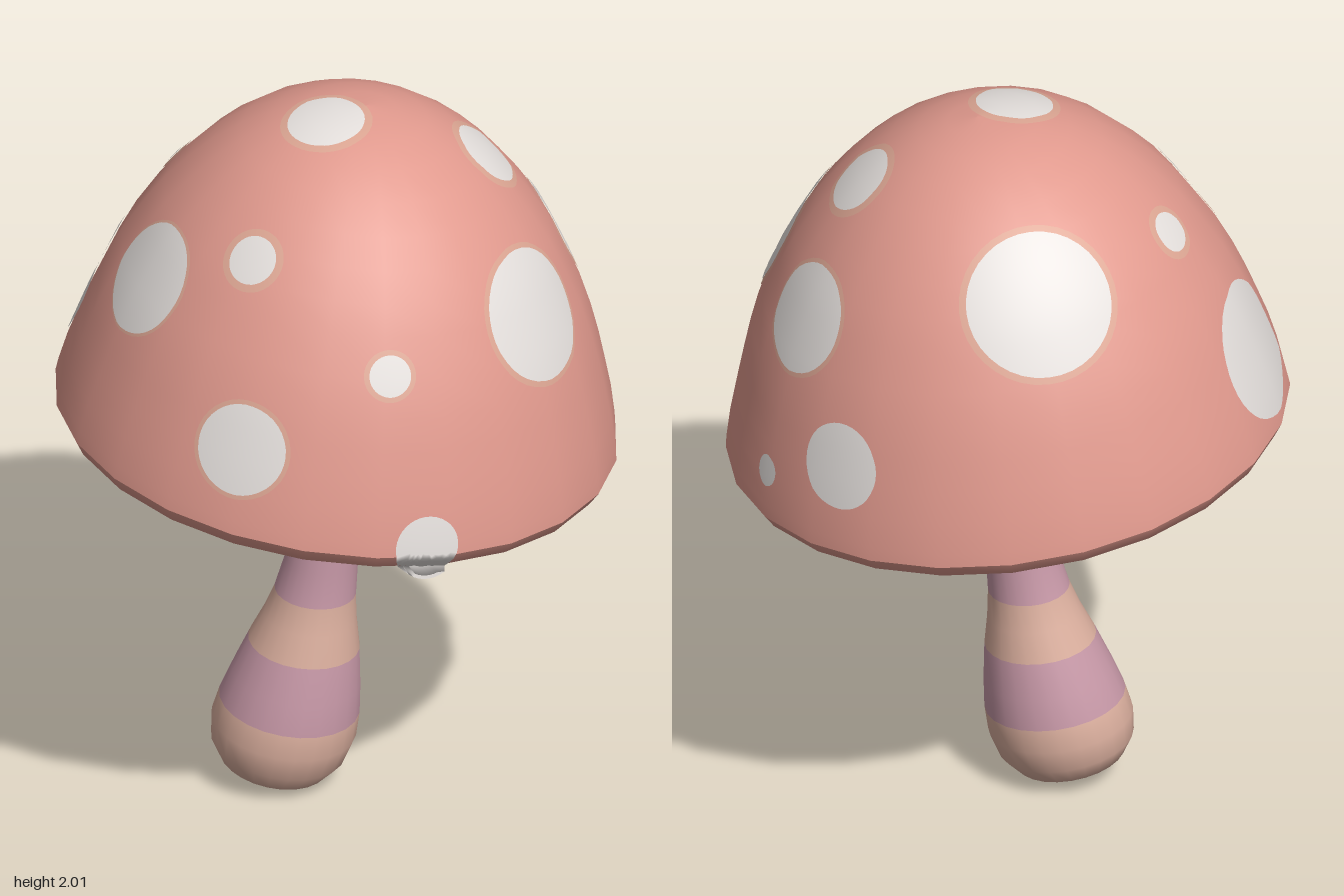
import * as THREE from 'three';
import { mergeVertices } from 'three/addons/utils/BufferGeometryUtils.js';

const mat = (name, color) => {
  const m = new THREE.MeshStandardMaterial({ color });
  m.name = name;
  return m;
};

const lathe = (pts, sides) =>
  new THREE.LatheGeometry(pts.map(([r, y]) => new THREE.Vector2(r, y)), sides, Math.PI);

// Surface points of a disc or ring wrapped onto the cap
function wrappedDisc(targets, centre, normal, r0, r1, lift) {
  const rings = 9, sides = 36;
  const u = new THREE.Vector3(0, 1, 0).cross(normal).normalize();
  const v = normal.clone().cross(u);
  const ray = new THREE.Raycaster();
  const pos = [], nor = [], index = [];
  for (let i = 0; i <= rings; i++) {
    const r = r0 + (r1 - r0) * i / rings;
    for (let j = 0; j < sides; j++) {
      const a = j / sides * Math.PI * 2;
      const p = centre.clone().addScaledVector(u, r * Math.cos(a)).addScaledVector(v, r * Math.sin(a));
      ray.set(p.clone().addScaledVector(normal, 0.5), normal.clone().negate());
      const hit = ray.intersectObjects(targets)[0];
      const n = hit ? hit.normal : normal;
      const q = (hit ? hit.point : p).clone().addScaledVector(n, lift);
      pos.push(q.x, q.y, q.z);
      nor.push(n.x, n.y, n.z);
      if (i < rings) {
        const k = (j + 1) % sides, b = i * sides, c = b + sides;
        index.push(b + j, c + j, c + k, b + j, c + k, b + k);
      }
    }
  }
  const g = new THREE.BufferGeometry();
  g.setAttribute('position', new THREE.Float32BufferAttribute(pos, 3));
  g.setAttribute('normal', new THREE.Float32BufferAttribute(nor, 3));
  g.setIndex(index);
  return g;
}

export function createModel() {
  const model = new THREE.Group();
  model.name = 'mushroom';
  const pink = mat('cap pink', 0xe0998d);
  const white = mat('spot white', 0xe4dfdc);
  const halo = mat('spot edge beige', 0xdba592);
  const cream = mat('stem cream', 0xdcb09f);
  const mauve = mat('stem mauve', 0xc899a8);
  const olive = mat('gill beige', 0xc2ae92);

  const add = (name, geometry, material, parent = model) => {
    const m = new THREE.Mesh(geometry, material);
    m.name = name;
    parent.add(m);
    return m;
  };

  // Cap: tilted to its left and slightly backward, with a small lean of the dome
  const tilt = new THREE.Matrix4().makeRotationFromEuler(new THREE.Euler(-0.035, 0, -0.116));
  tilt.setPosition(-0.005, 1.03, 0);
  tilt.multiply(new THREE.Matrix4().set(1, -0.035, 0, 0, 0, 1, 0, 0, 0, 0, 1, 0, 0, 0, 0, 1));
  const cap = new THREE.Group();
  cap.name = 'cap';
  model.add(cap);
  const capPart = (name, pts, material) => add(name, lathe(pts, 24).applyMatrix4(tilt), material, cap);

  const dome = capPart('dome', [
    [0.737, 0.055], [0.732, 0.09], [0.715, 0.17], [0.692, 0.25], [0.668, 0.33], [0.64, 0.41],
    [0.602, 0.5], [0.548, 0.6], [0.505, 0.67], [0.45, 0.74], [0.39, 0.805], [0.32, 0.865],
    [0.24, 0.915], [0.16, 0.95], [0.08, 0.969], [0, 0.975]], pink);
  const rim = capPart('rim', [[0.67, 0], [0.715, 0.018], [0.737, 0.055]], pink);
  capPart('rimInside', [[0.56, 0.12], [0.61, 0.1], [0.638, 0.06], [0.645, 0.02], [0.67, 0]], pink);
  capPart('gills', [[0, 0.05], [0.3, 0.05], [0.53, 0.05], [0.555, 0.058]], olive);
  capPart('gillEdge', [[0.555, 0.058], [0.585, 0.07], [0.6, 0.11]], cream);

  // Spots: x, y, z, radius, halo width
  const spots = [
    [0, 1.33, 0.67, 0.12, 0.012], [-0.06, 1.77, 0.45, 0.065, 0.02],
    [-0.37, 1.62, 0.39, 0.15, 0.008], [0.355, 1.53, 0.505, 0.055, 0.014],
    [0.46, 1.08, 0.54, 0.085, 0], [0.6, 1.55, 0.08, 0.175, 0.015],
    [0.36, 1.86, -0.17, 0.095, 0.02], [0.455, 1.56, -0.41, 0.145, 0.012],
    [0.29, 1.26, -0.63, 0.115, 0], [0.52, 1.135, -0.5, 0.042, 0],
    [0, 1.99, 0.07, 0.1, 0.02], [-0.2, 1.72, -0.45, 0.19, 0.018],
    [-0.45, 1.75, -0.07, 0.055, 0.02], [-0.655, 1.38, 0.01, 0.185, 0]];
  const targets = [dome, rim];
  const core = new THREE.Vector3(0, 1.3, 0);
  const ray = new THREE.Raycaster();
  for (const [x, y, z, r, edge] of spots) {
    const dir = new THREE.Vector3(x, y, z).sub(core).normalize();
    ray.set(core.clone().addScaledVector(dir, 2), dir.clone().negate());
    const hit = ray.intersectObjects(targets)[0];
    const n = hit.normal.clone().normalize();
    add('spot', wrappedDisc(targets, hit.point, n, 0, r, 0.005), white, cap);
    if (edge) add('spotEdge', wrappedDisc(targets, hit.point, n, r * 0.97, r + edge, 0.003), halo, cap);
  }

  // Stem: one smooth lathe, bent toward the foot and split into coloured bands
  let stem = lathe([
    [0, 0.01], [0.08, 0.02], [0.14, 0.05], [0.175, 0.1], [0.188, 0.165], [0.183, 0.23],
    [0.168, 0.31], [0.145, 0.41], [0.122, 0.49], [0.106, 0.565], [0.095, 0.66], [0.089, 0.77],
    [0.086, 0.84], [0.086, 0.91], [0.087, 1.01], [0.088, 1.12]], 24);
  stem.deleteAttribute('uv');
  stem.deleteAttribute('normal');
  stem = mergeVertices(stem);
  const limits = [0.23, 0.41, 0.565, 0.77, 0.91, 1.01, 2];
  const bands = limits.map(() => []);
  const p = stem.attributes.position, idx = stem.index.array;
  for (let i = 0; i < idx.length; i += 3) {
    const tri = [idx[i], idx[i + 1], idx[i + 2]];
    const mid = tri.reduce((s, k) => s + p.getY(k), 0) / 3;
    bands[limits.findIndex(l => mid < l)].push(...tri);
  }
  for (let i = 0; i < p.count; i++) {
    const x = p.getX(i), y = p.getY(i), z = p.getZ(i);
    const t = Math.max(0, 1 - y / 0.95), bend = Math.pow(t, 1.3);
    p.setXYZ(i, x - 0.17 * bend, y - 0.2 * t * x, z + 0.04 * bend);
  }
  stem.computeVertexNormals();
  const stemGroup = new THREE.Group();
  stemGroup.name = 'stem';
  model.add(stemGroup);
  bands.forEach((tris, i) => {
    const g = stem.clone();
    g.setIndex(tris);
    add(i ? 'stemBand' : 'stemFoot', g, i % 2 ? mauve : cream, stemGroup);
  });

  return model;
}
